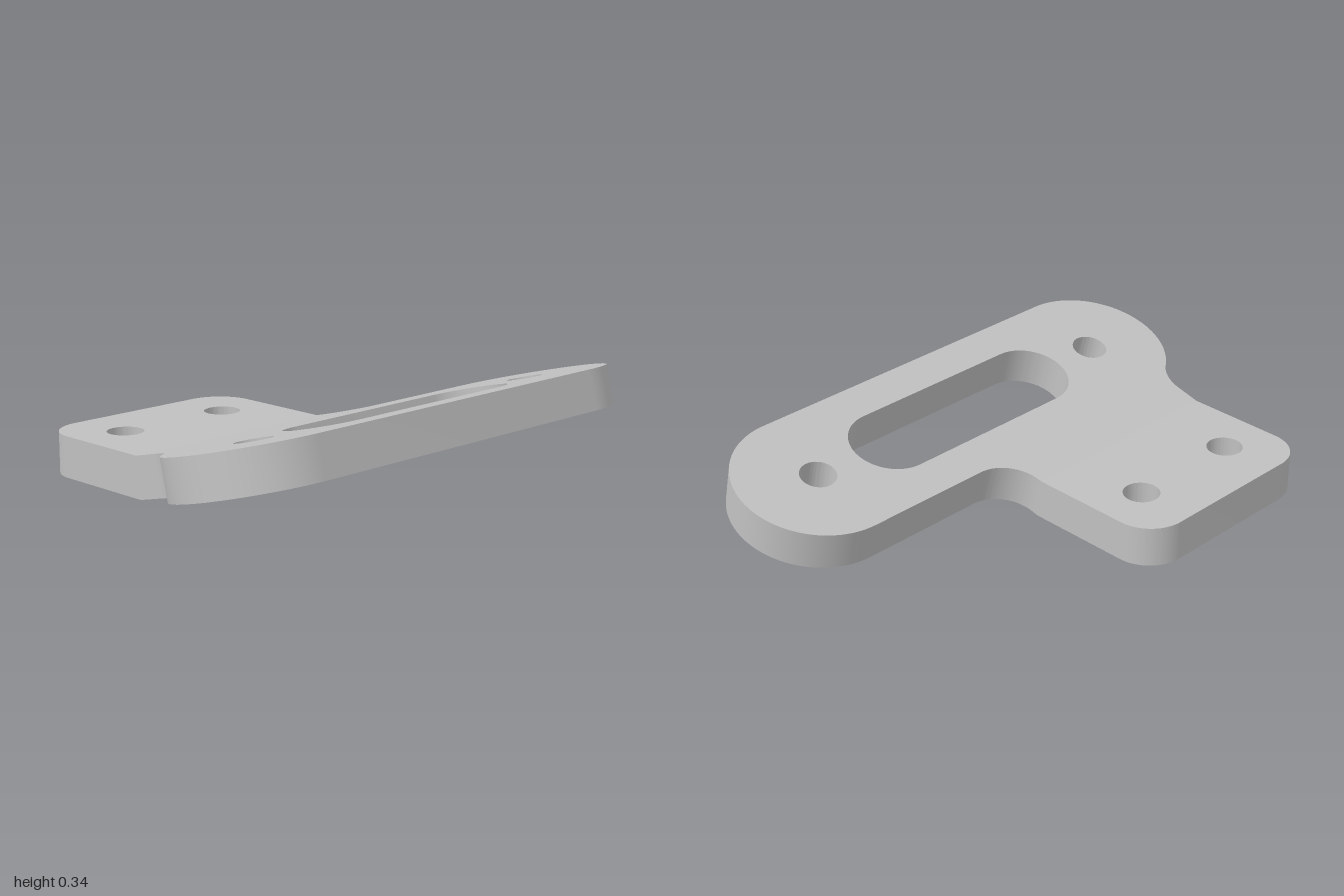
import * as THREE from 'three';
import { toCreasedNormals } from 'three/addons/utils/BufferGeometryUtils.js';

const THICK = 0.152;
const BEND = THREE.MathUtils.degToRad(14);
const BEND_Z = -0.11;
const MITRE = THICK * Math.tan(BEND / 2);

// Round hole or, with half > 0, a slot along x
function addSlot(shape, x, z, r, half = 0) {
  const p = new THREE.Path();
  p.absarc(x + half, z, r, -Math.PI / 2, Math.PI / 2, false);
  p.absarc(x - half, z, r, Math.PI / 2, Math.PI * 1.5, false);
  p.closePath();
  shape.holes.push(p);
}

// Extrude an (x, z) outline into a plate on y = 0 whose z = 0 edge is left open
// and mitred, so that two plates meet cleanly at the bend
function plate(shape, mitre) {
  const geo = new THREE.ExtrudeGeometry(shape, { depth: THICK, bevelEnabled: false, curveSegments: 28 });
  geo.rotateX(Math.PI / 2).translate(0, THICK, 0);
  const src = geo.getAttribute('position');
  const pos = [];
  for (let i = 0; i < src.count; i += 3) {
    const onBend = [0, 1, 2].map(k => Math.abs(src.getZ(i + k)) < 1e-5);
    if (onBend.every(Boolean)) continue;
    for (let k = 0; k < 3; k++) {
      const y = src.getY(i + k);
      const shift = onBend[k] && y > THICK / 2 ? mitre : 0;
      pos.push(src.getX(i + k), y, src.getZ(i + k) + shift);
    }
  }
  const out = new THREE.BufferGeometry();
  out.setAttribute('position', new THREE.Float32BufferAttribute(pos, 3));
  return toCreasedNormals(out, Math.PI / 6);
}

export function createModel() {
  const group = new THREE.Group();
  group.name = 'bentBracket';
  const metal = new THREE.MeshStandardMaterial({ color: 0xc0c0c0 });
  metal.name = 'grey metal';

  const left = -0.815, right = 0.04;

  // Level mounting tab with rounded back corners and two holes
  const back = -0.55, r = 0.145;
  const tab = new THREE.Shape();
  tab.moveTo(right, 0);
  tab.lineTo(left, 0);
  tab.absarc(left + r, back + r, r, Math.PI, Math.PI * 1.5, false);
  tab.absarc(right - r, back + r, r, -Math.PI / 2, 0, false);
  tab.closePath();
  for (const x of [-0.618, -0.158]) addSlot(tab, x, -0.323, 0.067);
  const tabMesh = new THREE.Mesh(plate(tab, -MITRE), metal);
  tabMesh.name = 'mountingTab';
  tabMesh.position.z = BEND_Z;
  group.add(tabMesh);

  // Tilted plate with round ends, blended into the tab by two fillets
  const cx = 0.691, cz = 0.486, R = 0.309, f = 0.155;
  const fx = left - f;
  const fz = cz - Math.sqrt((R + f) ** 2 - (fx + cx) ** 2);
  const a = Math.atan2(cz - fz, -cx - fx);
  const face = new THREE.Shape();
  face.moveTo(left, 0);
  face.lineTo(right, 0);
  face.absarc(right + f, cz - R - f, f, Math.PI, Math.PI / 2, true);
  face.absarc(cx, cz, R, -Math.PI / 2, Math.PI / 2, false);
  face.absarc(-cx, cz, R, Math.PI / 2, Math.PI + a, false);
  face.absarc(fx, fz, f, a, 0, true);
  face.closePath();
  for (const x of [-cx, cx]) addSlot(face, x, cz, 0.067);
  addSlot(face, 0, cz, 0.157, 0.35);
  const faceMesh = new THREE.Mesh(plate(face, MITRE), metal);
  faceMesh.name = 'slottedPlate';
  faceMesh.position.z = BEND_Z;
  faceMesh.rotation.x = -BEND;
  group.add(faceMesh);

  return group;
}
